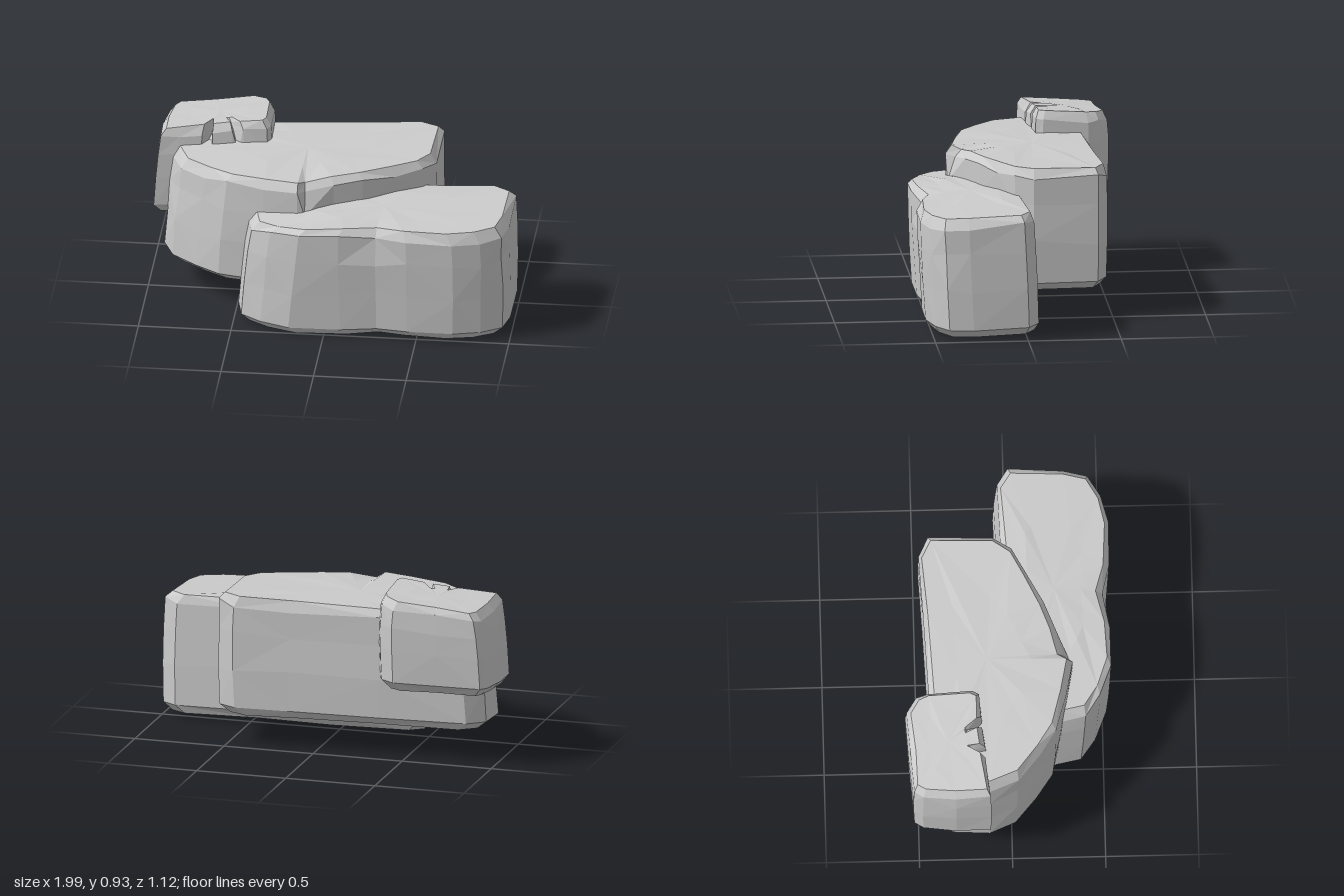
import * as THREE from 'three';

// Small repeatable noise in -1..1
function noise(i, j) {
  const s = Math.sin(i * 127.1 + j * 311.7) * 43758.5453;
  return (s - Math.floor(s)) * 2 - 1;
}

// Faceted boulder lofted from a plan outline of [x, z, topDent].
// levels: [height fraction, inset]; top/bottom/lean are rules for the surface.
function boulder(name, { outline, centre, top, bottom, lean, levels, rough, seed }) {
  const n = outline.length;
  const [cx, cz] = centre;
  const place = (x, z, t) => {
    const y = THREE.MathUtils.lerp(bottom(x, z), top(x, z), t);
    const [dx, dz] = lean(x, z, 1 - t);
    return new THREE.Vector3(x + dx, y, z + dz);
  };
  const ring = ([t, inset], j) => outline.map(([x, z, dent = 0], i) => {
    const len = Math.hypot(cx - x, cz - z);
    const upper = t > 0.85 ? dent : 0;
    const wobble = t > 0.1 && t < 0.9 ? rough * noise(i + seed, j) : 0;
    const k = (inset + upper + Math.max(0, wobble)) / len;
    const p = place(x + (cx - x) * k, z + (cz - z) * k, t);
    p.y -= upper * 0.5;
    if (t > 0.1 && t < 0.95) p.y += rough * 2 * noise(i + seed, j + 9);
    return p;
  });
  const rings = levels.map(ring);
  // inner ring keeps the top surface slightly uneven
  rings.push(outline.map(([x, z], i) => {
    const p = place(cx + (x - cx) * 0.5, cz + (z - cz) * 0.5, 1);
    p.y += rough * 0.5 * noise(i, seed);
    return p;
  }));

  const pos = [];
  const tri = (...v) => v.forEach(p => pos.push(p.x, p.y, p.z));
  const low = place(cx, cz, 0), high = place(cx, cz, 1);
  for (let i = 0; i < n; i++) {
    const k = (i + 1) % n;
    for (let r = 0; r < rings.length - 1; r++) {
      const a = rings[r][i], b = rings[r][k], c = rings[r + 1][k], d = rings[r + 1][i];
      if ((i + r) % 2) { tri(a, b, c); tri(a, c, d); }
      else { tri(a, b, d); tri(b, c, d); }
    }
    tri(low, rings[0][k], rings[0][i]);
    tri(high, rings[rings.length - 1][i], rings[rings.length - 1][k]);
  }
  const geo = new THREE.BufferGeometry();
  geo.setAttribute('position', new THREE.Float32BufferAttribute(pos, 3));
  geo.computeVertexNormals();
  const mesh = new THREE.Mesh(geo, new THREE.MeshStandardMaterial({ color: 0xcccccc, flatShading: true }));
  mesh.name = name;
  return mesh;
}

export function createModel() {
  const group = new THREE.Group();
  group.name = 'rockCluster';

  // Low front rock: broad on the right, tapering to the left
  group.add(boulder('frontRock', {
    outline: [
      [-0.43, 0.27], [-0.4, 0.41], [-0.29, 0.49], [-0.13, 0.555], [0.08, 0.555], [0.28, 0.54, 0.02],
      [0.45, 0.56], [0.7, 0.56], [0.85, 0.52], [0.96, 0.45], [0.99, 0.32], [0.995, 0.02],
      [0.91, -0.04], [0.5, -0.03], [0.0, 0.0], [-0.36, 0.05], [-0.43, 0.12],
    ],
    centre: [0.3, 0.25],
    top: (x, z) => 0.68 + 0.01 * x - 0.06 * Math.max(0, z - 0.1) - 0.12 * Math.max(0, -x - 0.02),
    bottom: (x, z) => 0.005 + 0.05 * Math.max(0, 0.35 - z) + (x > 0.2 ? 0.01 : 0),
    lean: (x, z, d) => [(x < 0 ? -0.07 : 0.005) * d, -0.03 * d],
    levels: [[0, 0.06], [0.07, 0.008], [0.4, 0], [0.7, 0], [0.93, 0.006], [1, 0.045]],
    rough: 0.01, seed: 3,
  }));

  // Middle rock: straight back and a blunt pointed front
  group.add(boulder('middleRock', {
    outline: [
      [-0.88, -0.12], [-0.82, 0.04], [-0.68, 0.16], [-0.55, 0.25], [-0.35, 0.31], [-0.16, 0.35],
      [-0.12, 0.34, 0.04], [0.03, 0.26], [0.18, 0.2], [0.35, 0.11], [0.49, 0.03], [0.555, -0.07],
      [0.56, -0.42], [0.46, -0.475], [0.15, -0.46], [-0.35, -0.44], [-0.78, -0.4], [-0.87, -0.32],
    ],
    centre: [-0.15, -0.12],
    top: (x, z) => 0.825 + 0.025 * x - 0.05 * Math.max(0, -x - 0.5) - 0.03 * Math.max(0, z),
    bottom: (x, z) => 0.16 + 0.02 * Math.max(0, -z),
    lean: (x, z, d) => [(x < -0.4 ? -0.06 : 0) * d, z > 0 ? -0.02 * d : 0],
    levels: [[0, 0.07], [0.07, 0.01], [0.4, 0], [0.7, 0], [0.93, 0.006], [1, 0.04]],
    rough: 0.01, seed: 11,
  }));

  // Small rear rock, with two cracks on its upper front edge
  group.add(boulder('rearRock', {
    outline: [
      [-0.95, -0.11], [-0.85, -0.12], [-0.73, -0.13], [-0.7, -0.135, 0.07], [-0.67, -0.13], [-0.56, -0.145],
      [-0.53, -0.155, 0.05], [-0.5, -0.15], [-0.37, -0.16], [-0.35, -0.2], [-0.355, -0.45], [-0.38, -0.51],
      [-0.46, -0.565], [-0.7, -0.55], [-0.91, -0.53], [-0.94, -0.48], [-0.96, -0.3],
    ],
    centre: [-0.65, -0.34],
    top: (x, z) => 0.9 + 0.11 * (x + 0.65) + 0.06 * (z + 0.3),
    bottom: (x, z) => 0.39 - 0.06 * (z + 0.3),
    lean: (x, z, d) => [(x < -0.8 ? -0.045 : 0) * d, 0],
    levels: [[0, 0.06], [0.1, 0.008], [0.45, 0], [0.7, 0], [0.91, 0.01], [1, 0.04]],
    rough: 0.006, seed: 23,
  }));

  return group;
}
